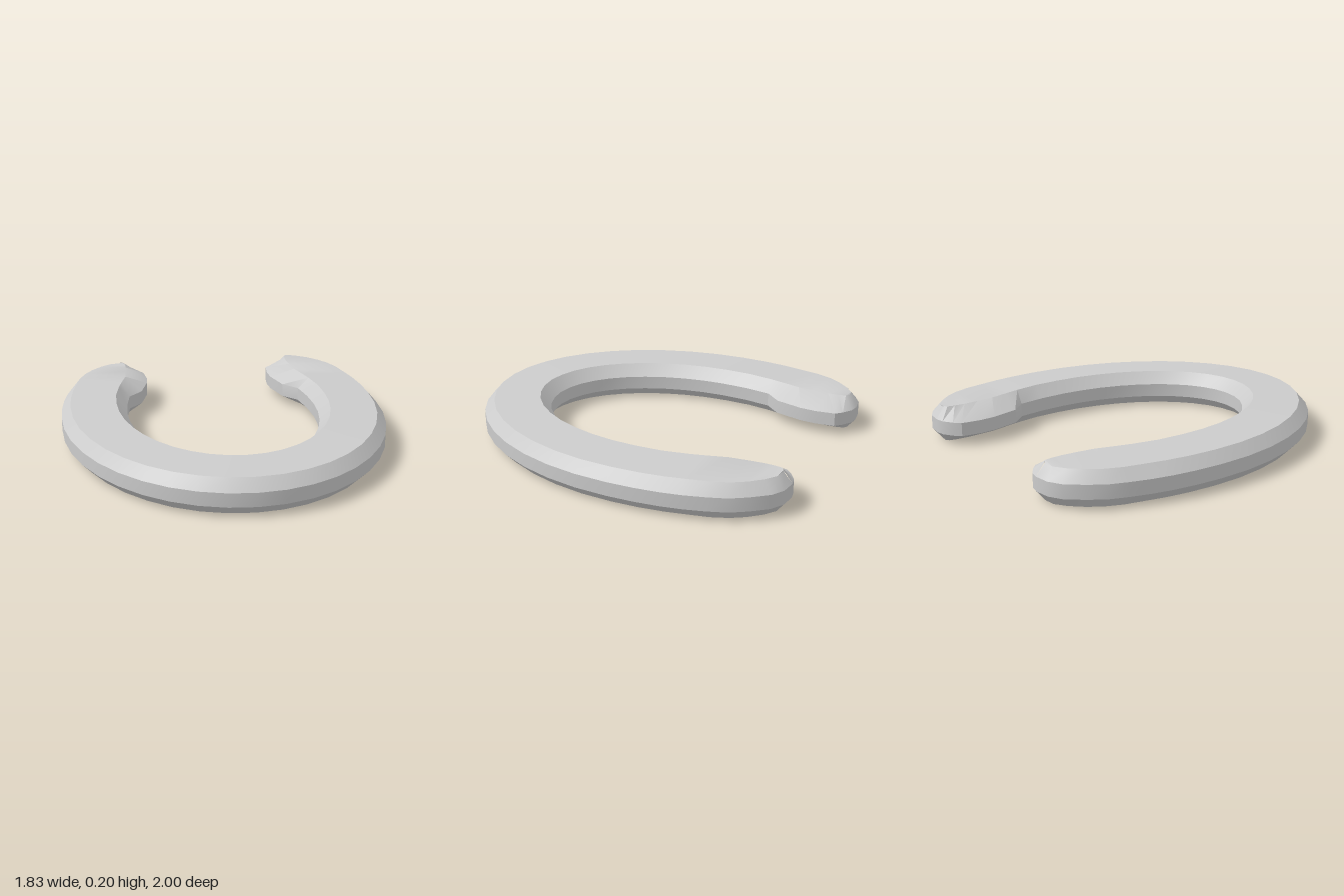
import * as THREE from 'three';
import { toCreasedNormals } from 'three/addons/utils/BufferGeometryUtils.js';

// Each station holds four plan points [x, z]: outer wall, outer rim, inner rim, inner wall
function halfStations() {
  const list = [];
  const cz = -0.18;
  const radii = [[0.917, 1.175], [0.865, 1.12], [0.605, 0.86], [0.545, 0.80]];
  // Elliptical toe and branches, from the toe centre to the widest point
  for (let i = 0; i <= 10; i++) {
    const a = (i / 10) * Math.PI / 2;
    list.push(radii.map(([rx, rz]) => [rx * Math.sin(a), cz + rz * Math.cos(a)]));
  }
  // Heel: the inner wall swells inwards, then everything closes at a rounded tip
  list.push(
    [[0.913, -0.33], [0.86, -0.33], [0.60, -0.33], [0.537, -0.33]],
    [[0.90, -0.46], [0.845, -0.46], [0.575, -0.47], [0.513, -0.48]],
    [[0.88, -0.57], [0.825, -0.56], [0.555, -0.55], [0.435, -0.565]],
    [[0.85, -0.68], [0.80, -0.68], [0.525, -0.66], [0.39, -0.72]],
    [[0.815, -0.78], [0.765, -0.77], [0.515, -0.76], [0.383, -0.81]],
    [[0.76, -0.865], [0.72, -0.84], [0.51, -0.84], [0.395, -0.92]],
    [[0.69, -0.95], [0.66, -0.905], [0.512, -0.90], [0.43, -0.955]],
    [[0.62, -0.99], [0.60, -0.947], [0.52, -0.94], [0.485, -0.99]],
    [[0.535, -1.0], [0.54, -0.953], [0.54, -0.953], [0.535, -1.0]]
  );
  return list;
}

// Eight-sided cross-section: straight walls with bevels above and below
function ring([outer, outerRim, innerRim, inner], sign) {
  const at = ([x, z], y) => new THREE.Vector3(sign * x, y, z);
  return [
    at(outer, 0.055), at(outer, 0.13), at(outerRim, 0.19), at(innerRim, 0.197),
    at(inner, 0.13), at(inner, 0.055), at(innerRim, 0), at(outerRim, 0)
  ];
}

function shoeGeometry() {
  const half = halfStations();
  const rings = [
    ...half.slice(1).reverse().map(s => ring(s, -1)),
    ...half.map(s => ring(s, 1))
  ];
  const positions = [];
  const triangle = (a, b, c) => {
    const area = b.clone().sub(a).cross(c.clone().sub(a)).length();
    if (area > 1e-7) for (const p of [a, b, c]) positions.push(p.x, p.y, p.z);
  };
  for (let i = 0; i < rings.length - 1; i++) {
    for (let j = 0; j < 8; j++) {
      const k = (j + 1) % 8;
      const a = rings[i][j], b = rings[i][k], c = rings[i + 1][k], d = rings[i + 1][j];
      triangle(a, d, c);
      triangle(a, c, b);
    }
  }
  const geometry = new THREE.BufferGeometry();
  geometry.setAttribute('position', new THREE.Float32BufferAttribute(positions, 3));
  return toCreasedNormals(geometry, 0.55);
}

export function createModel() {
  const group = new THREE.Group();
  group.name = 'horseshoe';
  const shoe = new THREE.Mesh(shoeGeometry(), new THREE.MeshStandardMaterial({ color: 0xcccccc }));
  shoe.name = 'shoeBar';
  group.add(shoe);
  return group;
}
